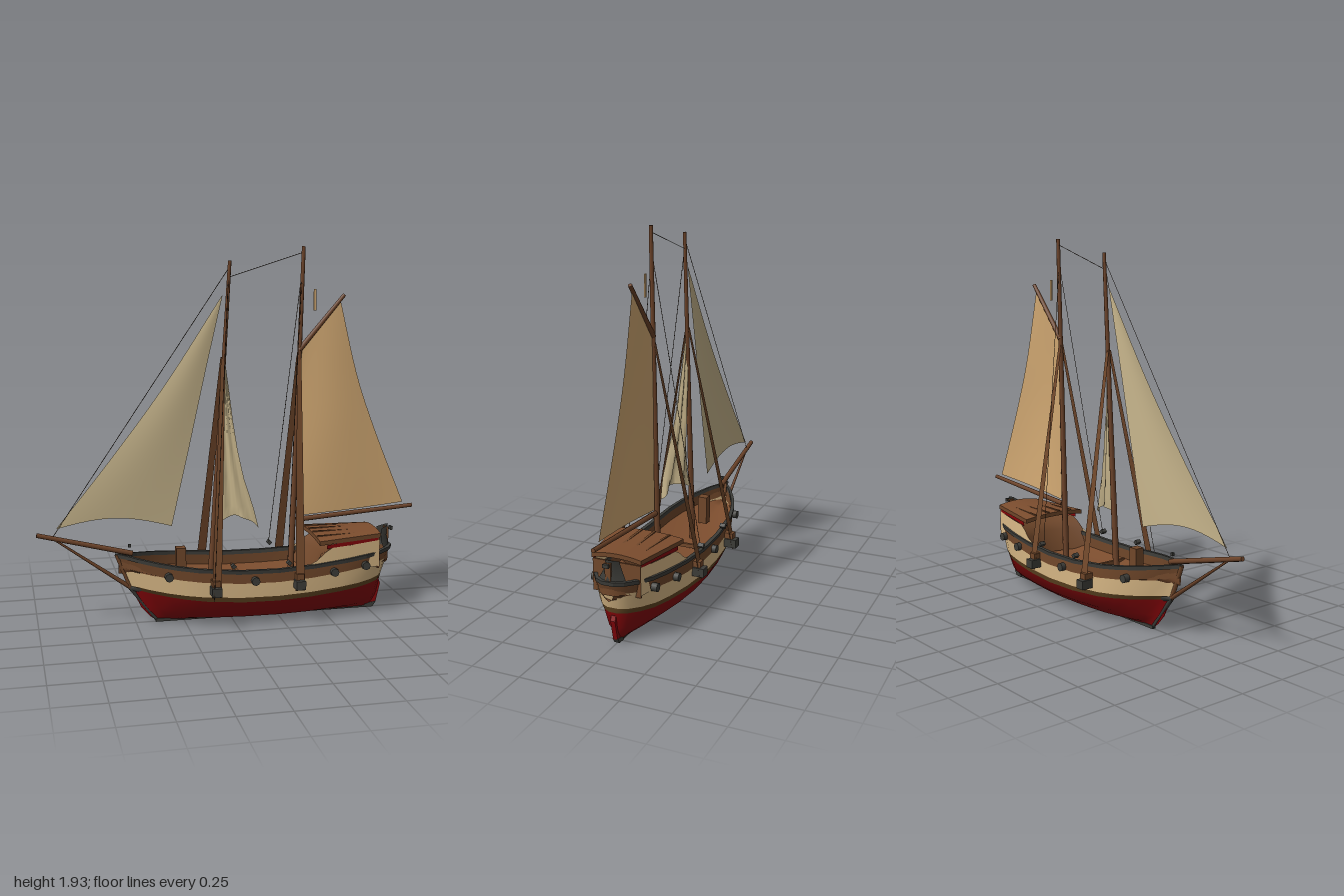
import * as THREE from 'three';

const mat = (name, color, side = THREE.FrontSide) => {
  const m = new THREE.MeshStandardMaterial({ color, side });
  m.name = name;
  return m;
};

// Smooth piecewise-linear lookup in [x, value] pairs
const lookup = (t, x) => {
  if (x <= t[0][0]) return t[0][1];
  for (let i = 1; i < t.length; i++) {
    if (x <= t[i][0]) {
      const k = (x - t[i - 1][0]) / (t[i][0] - t[i - 1][0]);
      return t[i - 1][1] + k * (t[i][1] - t[i - 1][1]);
    }
  }
  return t[t.length - 1][1];
};

// Surface through fn(i, j) -> [x, y, z]; it faces along (d/di) x (d/dj)
function grid(ni, nj, fn) {
  const pos = [], idx = [];
  for (let j = 0; j <= nj; j++) for (let i = 0; i <= ni; i++) pos.push(...fn(i, j));
  for (let j = 0; j < nj; j++) for (let i = 0; i < ni; i++) {
    const a = j * (ni + 1) + i, d = a + ni + 1;
    idx.push(a, a + 1, d + 1, a, d + 1, d);
  }
  const g = new THREE.BufferGeometry();
  g.setAttribute('position', new THREE.Float32BufferAttribute(pos, 3));
  g.setIndex(idx);
  g.computeVertexNormals();
  return g;
}

// Hull plan: share of full half-width along the length, bow to stern
const PLAN = [[0, .02], [.035, .13], [.07, .33], [.136, .6], [.2, .78], [.27, .9], [.41, .98],
  [.55, 1], [.68, .95], [.8, .85], [.88, .74], [.94, .56], [.98, .36], [1, .15]];
const N = PLAN.length;
// Hull rows: bow x, stern x, mid height, rise at bow, rise at stern, half-width, fineness
const ROWS = [
  [-.40, .78, .006, .004, .004, .02, 1],
  [-.43, .785, .022, .01, .02, .09, 1.3],
  [-.475, .80, .065, .02, .02, .155, 1.2],
  [-.52, .815, .13, .05, .04, .19, 1.1],
  [-.535, .82, .157, .045, .04, .197, 1],
  [-.57, .85, .232, .065, .055, .202, 1],
  [-.60, .87, .295, .075, .05, .2, 1],
];
function hullPoint(row, k, sign, shrink = 1, dy = 0) {
  const [xf, xa, y, rf, ra, w, e] = row;
  const [s, p] = PLAN[k];
  const bow = Math.max(0, (.45 - s) / .45) ** 1.5, aft = Math.max(0, (s - .55) / .45) ** 1.5;
  const mid = (xf + xa) / 2;
  const x = mid + (xf + (xa - xf) * s - mid) * (1 - (1 - shrink) * .25);
  return [x, y + rf * bow + ra * aft + dy, sign * w * p ** e * shrink];
}
// Walks along the left side to the stern and back along the right side
const around = (row, i, shrink, dy) => i < N
  ? hullPoint(row, i, 1, shrink, dy) : hullPoint(row, 2 * N - 1 - i, -1, shrink, dy);
const halfWidth = x => .2 * lookup(PLAN, (x + .6) / 1.47);

export function createModel() {
  const root = new THREE.Group();
  root.name = 'sailingShip';
  const D = THREE.DoubleSide;
  const wood = mat('hullBrown', 0x70472a, D), wale = mat('waleBrown', 0x604522);
  const cream = mat('creamPaint', 0xdcbb88, D), red = mat('bottomRed', 0x850408, D);
  const iron = mat('darkGrey', 0x3c3c38, D), spar = mat('sparBrown', 0x6b4228);
  const deckMat = mat('deckBrown', 0x7c4d2e, D), rope = mat('ropeDark', 0x35291e, D);
  const jibMat = mat('paleCanvas', 0xc6b48b, D), mainMat = mat('tanCanvas', 0xd2a973, D);

  const add = (name, geo, m, parent = root) => {
    const mesh = new THREE.Mesh(geo, m);
    mesh.name = name;
    parent.add(mesh);
    return mesh;
  };
  const box = (name, w, h, d, x, y, z, m, rz = 0) => {
    const b = add(name, new THREE.BoxGeometry(w, h, d), m);
    b.position.set(x, y, z);
    b.rotation.z = rz;
    return b;
  };
  // Tapered round pole from a to b
  const pole = (name, a, b, r0, r1, m = spar, sides = 8) => {
    const A = new THREE.Vector3(...a), B = new THREE.Vector3(...b), dir = B.clone().sub(A);
    const p = add(name, new THREE.CylinderGeometry(r1, r0, dir.length(), sides), m);
    p.position.copy(A).add(B).multiplyScalar(.5);
    p.quaternion.setFromUnitVectors(new THREE.Vector3(0, 1, 0), dir.normalize());
    return p;
  };

  // Painted hull bands
  const band = (name, from, to, m) =>
    add(name, grid(2 * N - 1, to - from, (i, j) => around(ROWS[from + j], i)), m);
  band('hullBottom', 0, 3, red);
  band('lowerWale', 3, 4, wale);
  band('creamStrake', 4, 5, cream);
  band('topStrake', 5, 6, wood);
  add('keelFace', grid(N - 1, 1, (i, j) => hullPoint(ROWS[0], i, j ? 1 : -1)), iron);

  // Rail cap, bulwark lining and hollow deck
  const cap = [[1.02, -.014], [1.03, .006], [.93, .006], [.92, -.014]], top = ROWS[6];
  add('railCap', grid(2 * N - 1, 3, (i, j) => around(top, i, ...cap[j])).toNonIndexed(), iron)
    .geometry.computeVertexNormals();
  add('bulwarkLining', grid(2 * N - 1, 1, (i, j) => around(top, i, .93, j ? -.07 : 0)), wood);
  add('deck', grid(N - 1, 4, (i, j) => {
    const p = hullPoint(top, i, 1, .94, -.065), k = 1 - j / 2;
    return [p[0], p[1] - .035 * (1 - k * k), p[2] * k];
  }), deckMat);
  box('deckBeam', .015, .02, .36, .045, .225, 0, wood);
  box('bitts', .05, .15, .05, -.265, .315, 0, wood);

  // Keel, stem, sternpost and rudder
  box('keel', 1.18, .016, .02, .19, .008, 0, iron);
  pole('lowerStem', [-.395, .012, 0], [-.525, .185, 0], .009, .012, iron, 6);
  pole('upperStem', [-.525, .185, 0], [-.598, .37, 0], .012, .012, wood, 6);
  pole('stemIron', [-.47, .19, 0], [-.535, .19, 0], .03, .012, iron, 6);
  const outline = (pts, depth) => {
    const g = new THREE.ExtrudeGeometry(new THREE.Shape(pts.map(p => new THREE.Vector2(...p))),
      { depth, bevelEnabled: false });
    return g.translate(0, 0, -depth / 2);
  };
  add('rudder', outline([[.77, .02], [.8, .025], [.825, .13], [.815, .155], [.77, .15]], .024), red);
  add('rudderFoot', outline([[.74, 0], [.785, .004], [.802, .03], [.74, .022]], .028), iron);
  // Flared stern board: x, y, half-width
  const board = [[.865, .33, .085], [.868, .36, .07], [.86, .40, .05], [.866, .455, .034]];
  add('sternBoard', grid(4, 3, (i, j) => {
    const [x, y, w] = board[j], k = 1 - i / 2;
    return [x - .05 * k * k, y - .02 * k * k, w * k];
  }), iron);
  box('sternTimber', .02, .1, .03, .855, .39, 0, wood);

  // Stern cabin, tapering aft with a swept-up front
  const cabin = [[.37, .305, .185], [.42, .33, .184], [.46, .365, .18], [.5, .388, .175], [.6, .392, .16], [.775, .402, .125]];
  const roofZ = x => .188 - (x - .43) * .17;
  for (const s of [1, -1]) {
    add('cabinSide', grid(5, 1, (i, j) => {
      const [x, y, w] = cabin[i];
      return [x, j ? y : .26, s * w];
    }), cream);
    add('cabinTrim', grid(1, 1, (i, j) => {
      const x = i ? .775 : .47;
      return [x, (i ? .4 : .383) + j * .02, s * (roofZ(x) - .006)];
    }), red);
  }
  add('cabinFront', grid(4, 3, (i, j) => {
    const k = 1 - i / 2, [x, y, w] = cabin[j];
    return [x + .06 * (1 - k * k), j ? y : .22, w * k];
  }), wood);
  box('cabinBack', .01, .16, .25, .772, .33, 0, wood);

  // Cambered plank roof with thickness
  const ends = [[.43, .418], [.78, .428]];
  const roofAt = (e, k, dy) => [ends[e][0], ends[e][1] + dy + .014 * (1 - k * k), roofZ(ends[e][0]) * k];
  add('roofTop', grid(1, 8, (i, j) => roofAt(i, 1 - j / 4, .01)), deckMat);
  add('roofUnder', grid(1, 8, (i, j) => roofAt(i, 1 - j / 4, -.012)), wood);
  for (const e of [0, 1]) add('roofEnd', grid(8, 1, (i, j) => roofAt(e, 1 - i / 4, j ? .01 : -.012)), wood);
  for (const s of [1, -1]) {
    add('roofEdge', grid(1, 1, (i, j) => roofAt(i, s, j ? .01 : -.012)), wood);
    box('roofPlank', .34, .008, .012, .605, .443, s * .035, wood);
    const p = box('roofPlank', .34, .008, .01, .605, .438, s * .1, wood);
    p.rotation.y = s * .09;
  }

  // Masts, bowsprit, gaff and boom
  pole('foreMast', [-.108, .19, 0], [-.004, 1.855, 0], .017, .009);
  pole('mainMast', [.325, .19, 0], [.38, 1.925, 0], .017, .01);
  pole('bowsprit', [-.515, .372, 0], [-.998, .493, 0], .014, .012);
  pole('bobstay', [-.525, .19, 0], [-.915, .47, 0], .012, .005);
  pole('gaff', [.362, 1.4, 0], [.6, 1.68, 0], .014, .01);
  pole('boom', [.355, .505, 0], [.998, .552, 0], .014, .011);
  box('pennant', .014, .11, .006, .443, 1.655, 0, mainMat);

  // Flat shrouds with their side channels
  const shrouds = [[-.122, .16, -.04, 1.35], [.314, .17, .36, 1.35]];
  for (const s of [1, -1]) for (const [x0, y0, x1, y1] of shrouds) {
    const mid = .45;
    add('shroud', grid(1, 4, (i, j) => {
      const k = j / 4, w = .025 - .014 * k;
      return [x0 + (x1 - x0) * k + (i ? w : -w), y0 + .02 + (y1 - y0) * k, s * (.235 - .228 * k)];
    }), spar === null ? rope : wood);
    box('channel', .05, .045, .065, x0, y0 + .05, s * .222, iron);
    box('channelBoard', .04, .03, .05, x0, y0 + .09, s * .21, wood);
  }

  // Round side fittings and small blocks on the rail
  for (const s of [1, -1]) {
    for (const [x, y] of [[-.35, .277], [.085, .248], [.51, .262], [.69, .278]]) {
      const f = add('sideFitting', new THREE.CylinderGeometry(.022, .022, .03, 8), iron);
      f.position.set(x, y, s * (halfWidth(x) + .01));
      f.rotation.x = Math.PI / 2;
    }
    for (const x of [-.03, .26]) box('railBlock', .02, .02, .03, x, .333, s * .208, iron, Math.PI / 4);
  }
  box('bowBlock', .014, .016, .014, -.53, .413, 0, iron);
  box('sternBlock', .014, .018, .03, .882, .432, 0, iron);

  // Sails spanned between two edge curves, each a list of [x, y] from foot to head
  const curve = pts => new THREE.CatmullRomCurve3(pts.map(([x, y, z = 0]) => new THREE.Vector3(x, y, z)));
  const sail = (name, luff, leech, belly, sag, m) => {
    const A = curve(luff), B = curve(leech);
    return add(name, grid(10, 16, (i, j) => {
      const u = i / 10, v = j / 16, a = A.getPoint(v), p = a.lerp(B.getPoint(v), u);
      const bulge = Math.sin(Math.PI * u);
      return [p.x, p.y + sag * bulge * (1 - v) ** 4, p.z + belly * bulge * Math.sin(Math.PI * (.15 + .85 * v))];
    }), m);
  };
  sail('jib', [[-.9, .52], [-.62, .865], [-.34, 1.235], [-.045, 1.68]],
    [[-.31, .505], [-.215, .92], [-.135, 1.28], [-.042, 1.68]], .012, .05, jibMat);
  sail('mainSail', [[.362, .525], [.365, .82], [.368, 1.12], [.372, 1.41]],
    [[.945, .572], [.78, .97], [.68, 1.25], [.58, 1.65]], .025, 0, mainMat);

  // Gathered staysail hanging behind the fore mast: height, near x, far x, far z
  const cloth = [[.51, -.07, .132, .075], [.6, -.055, .108, .066], [.75, -.045, .062, .05], [.9, -.04, .03, .034],
    [1.05, -.04, .006, .026], [1.2, -.04, -.012, .016], [1.35, -.045, -.03, .004]];
  add('gatheredSail', grid(12, 6, (i, j) => {
    const [y, x0, x1, z1] = cloth[j], u = i / 12;
    const fold = Math.sin(u * Math.PI * 4 + j * .8) * .018 * (1 - j / 7);
    const foot = j ? 0 : .05 * Math.sin(u * Math.PI) - .02 * u;
    return [x0 + (x1 - x0) * u - fold * .4, y + foot, z1 * u + fold];
  }), jibMat);

  // Rigging lines
  const lines = [
    [[-.92, .475, 0], [-.008, 1.82, 0]], [[0, 1.775, 0], [.378, 1.895, 0]],
    [[.255, .335, .2], [.372, 1.8, 0]], [[.255, .335, -.2], [.372, 1.8, 0]],
    [[-.14, .17, .26], [-.01, 1.8, 0]],
  ];
  for (const [a, b] of lines) pole('riggingLine', a, b, .0016, .0016, rope, 4);
  return root;
}
